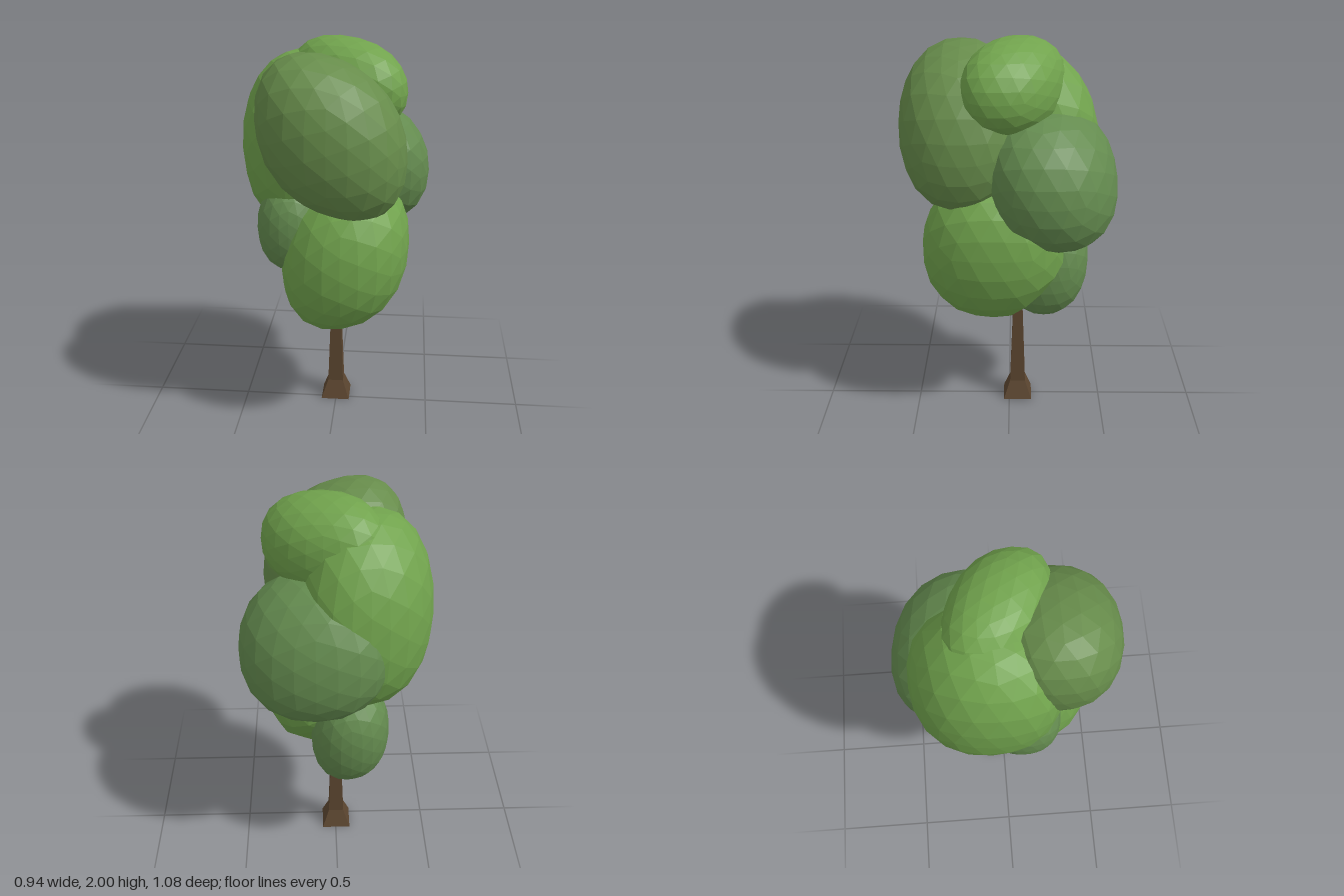
import * as THREE from 'three';

const leaf = { light: 0x71a34d, olive: 0x678c4b, cool: 0x648b4f };
const FULLNESS = 2.25; // 2 is a plain ellipsoid, higher is plumper

// Faceted plump clump: centre, half extents, slant between axis pairs (xy, xz, yz),
// and an optional flat side given by a normal and its distance from the centre.
function clump(name, color, centre, [hx, hy, hz], [xy, xz, yz] = [0, 0, 0], cut) {
  const geo = new THREE.IcosahedronGeometry(1, 3);
  const pos = geo.attributes.position;
  const v = new THREE.Vector3();
  const a = Math.sqrt(1 - xy * xy);
  const b = (yz - xy * xz) / a;
  const c = Math.sqrt(1 - xz * xz - b * b);
  const normal = cut && new THREE.Vector3(...cut.normal).normalize();
  for (let i = 0; i < pos.count; i++) {
    v.fromBufferAttribute(pos, i);
    const sum = v.toArray().reduce((s, k) => s + Math.abs(k) ** FULLNESS, 0);
    const { x, y, z } = v.divideScalar(sum ** (1 / FULLNESS));
    v.set(hx * x, hy * (xy * x + a * y), hz * (xz * x + b * y + c * z));
    if (cut) v.addScaledVector(normal, -Math.max(0, v.dot(normal) - cut.distance));
    pos.setXYZ(i, v.x, v.y, v.z);
  }
  geo.computeVertexNormals();
  const mesh = new THREE.Mesh(geo, new THREE.MeshStandardMaterial({ color, flatShading: true }));
  mesh.name = name;
  mesh.position.set(...centre);
  return mesh;
}

// Square tapering trunk with a flared foot; profile is [half side, height]
function trunk() {
  const profile = [[0, 0], [0.076, 0], [0.041, 0.1], [0.025, 0.56], [0.018, 0.95], [0, 0.95]];
  const geo = new THREE.LatheGeometry(
    profile.map(([half, y]) => new THREE.Vector2(half * Math.SQRT2, y)), 4, Math.PI / 4);
  const mesh = new THREE.Mesh(geo, new THREE.MeshStandardMaterial({ color: 0x5c4630, flatShading: true }));
  mesh.name = 'trunk';
  mesh.position.set(-0.003, 0, -0.046);
  return mesh;
}

export function createModel() {
  const tree = new THREE.Group();
  tree.name = 'tree';

  const crown = new THREE.Group();
  crown.name = 'crown';
  crown.add(
    clump('topClump', leaf.light, [0.06, 1.78, -0.025], [0.29, 0.218, 0.248], [-0.13, 0.36, 0]),
    clump('upperFrontClump', leaf.olive, [0, 1.57, 0.237], [0.358, 0.388, 0.305], [-0.27, 0, 0],
      { normal: [0, -1, 0], distance: 0.378 }),
    clump('rightSideClump', leaf.light, [-0.148, 1.455, -0.098], [0.322, 0.475, 0.358], [0, -0.12, 0.1]),
    clump('upperBackClump', leaf.cool, [0.1, 1.328, -0.22], [0.37, 0.342, 0.32], [-0.1, 0.12, 0.14],
      { normal: [0, -0.845, 0.535], distance: 0.265 }),
    clump('lowerFrontClump', leaf.light, [0.055, 0.925, 0.08], [0.324, 0.395, 0.365], [0.17, 0, 0],
      { normal: [0, -0.67, -0.74], distance: 0.312 }),
    clump('smallSideClump', leaf.cool, [-0.21, 1.07, 0.085], [0.18, 0.24, 0.19]),
    clump('lowerBackClump', leaf.cool, [-0.07, 0.785, -0.203], [0.198, 0.287, 0.215], [-0.08, 0, -0.1]),
  );

  tree.add(trunk(), crown);
  return tree;
}
